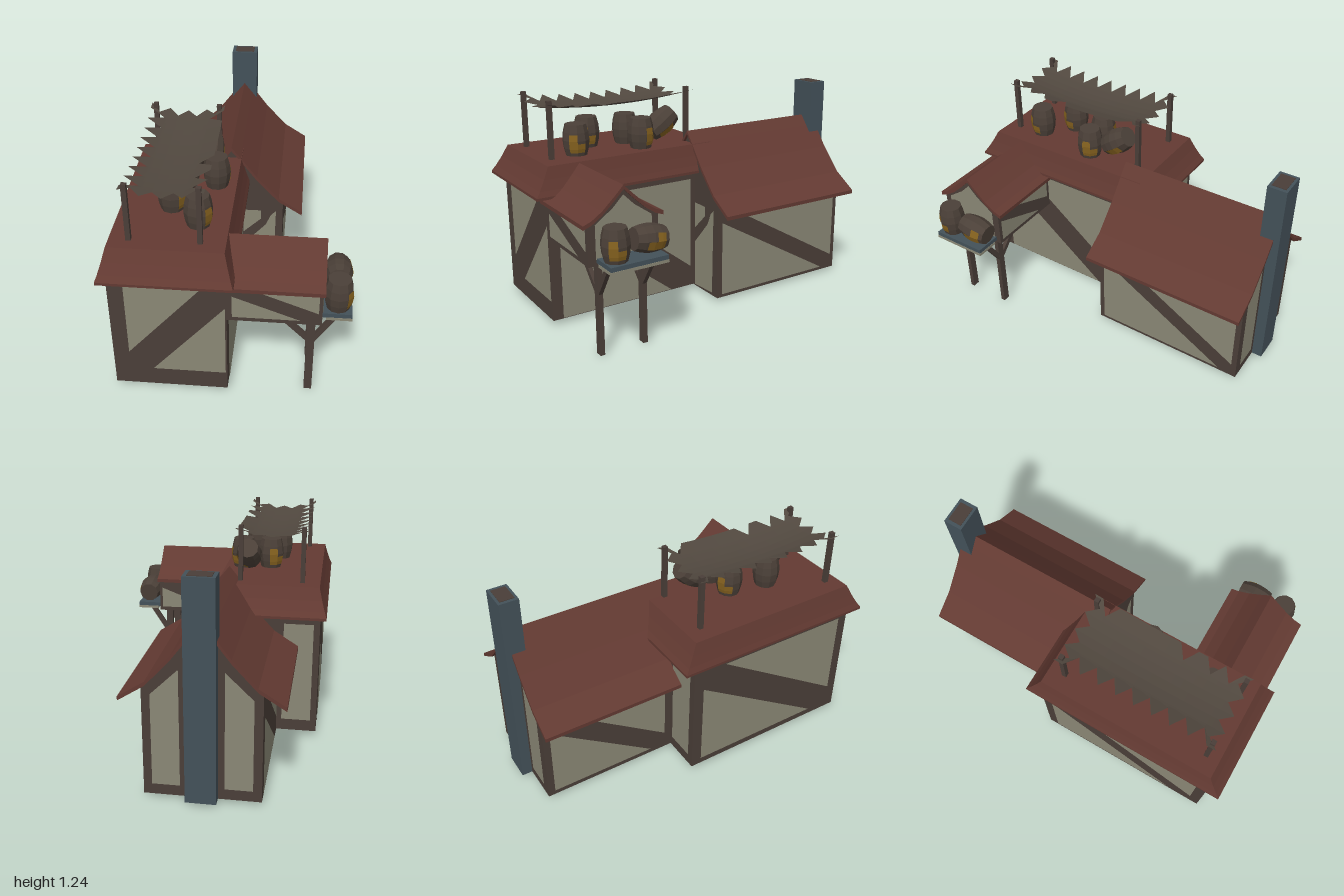
import * as THREE from 'three';

const mat = (name, color, extra = {}) => Object.assign(new THREE.MeshStandardMaterial({ color, ...extra }), { name });

export function createModel() {
  const model = new THREE.Group();
  model.name = 'timberHouse';
  const both = { side: THREE.DoubleSide };
  const wood = mat('darkTimber', 0x4a3e38, { flatShading: true });
  const plaster = mat('plaster', 0x8a8775, both);
  const tile = mat('redRoof', 0x633a32, { flatShading: true });
  const slate = mat('blueStone', 0x435159, { flatShading: true });
  const stave = mat('barrelWood', 0x4b4038, { flatShading: true });
  const gold = mat('goldPatch', 0x86621f, { flatShading: true, ...both });
  const cloth = mat('canopyCloth', 0x51483f, { flatShading: true, ...both });

  const add = (name, geo, material, parent = model) => {
    const m = new THREE.Mesh(geo, material);
    m.name = name;
    parent.add(m);
    return m;
  };
  // Box given by its extents
  const box = (name, material, x0, x1, y0, y1, z0, z1) => {
    const m = add(name, new THREE.BoxGeometry(x1 - x0, y1 - y0, z1 - z0), material);
    m.position.set((x0 + x1) / 2, (y0 + y1) / 2, (z0 + z1) / 2);
    return m;
  };
  const shapeOf = pts => new THREE.Shape(pts.map(p => new THREE.Vector2(...p)));

  // Flat plaster panel; u runs rightward as seen from outside the wall
  const panel = (face, at, pts) => {
    const m = add(face + 'PlasterPanel', new THREE.ShapeGeometry(shapeOf(pts)), plaster);
    const d = 0.004;
    if (face === 'front') m.position.z = at + d;
    if (face === 'back') { m.rotation.y = Math.PI; m.position.z = at - d; }
    if (face === 'left') { m.rotation.y = Math.PI / 2; m.position.x = at + d; }
    if (face === 'right') { m.rotation.y = -Math.PI / 2; m.position.x = at - d; }
    if (face === 'bottom') { m.rotation.x = Math.PI / 2; m.position.y = at - d; }
  };
  // Two panels with a diagonal brace left between them
  const braced = (face, at, l, r, b, t, rising, bu, bv) => {
    const flip = p => rising ? [l + r - p[0], p[1]] : p;
    panel(face, at, [[l + bu, t], [r, t], [r, b + bv]].map(flip));
    panel(face, at, [[l, t - bv], [l, b], [r - bu, b]].map(flip));
  };

  // Gabled body and curved roof, extruded along local z from the origin
  const gabled = (name, prof, half, y0, bodyLen, roofLen, roofShift) => {
    const g = new THREE.Group();
    g.name = name;
    model.add(g);
    const heightAt = x => {
      const i = Math.max(1, prof.findIndex(p => p[0] >= x));
      const [a, b] = [prof[i - 1], prof[i]];
      return a[1] + (b[1] - a[1]) * (x - a[0]) / (b[0] - a[0]);
    };
    const mirror = pts => [...pts, ...pts.slice().reverse().filter(p => p[0] > 0).map(p => [-p[0], p[1]])];
    const up = prof.filter(p => p[0] < half).map(p => [p[0], p[1] - 0.02]);
    const body = mirror([...up, [half, heightAt(half) - 0.02], [half, y0]]);
    add(name + 'Walls', new THREE.ExtrudeGeometry(shapeOf(body), { depth: bodyLen, bevelEnabled: false }), wood, g);
    const top = prof.slice().reverse().map(p => [-p[0], p[1]]).concat(prof.slice(1));
    const under = top.slice().reverse().map(p => [p[0], p[1] - 0.022]);
    const roof = add(name + 'Roof', new THREE.ExtrudeGeometry(shapeOf([...top, ...under]), { depth: roofLen, bevelEnabled: false }), tile, g);
    roof.position.z = roofShift;
    return g;
  };

  // Main block
  box('mainWalls', wood, -0.605, 0, 0.03, 0.78, -0.14, 0.93);
  braced('front', 0.93, -0.52, -0.008, 0.145, 0.7, true, 0.125, 0.11);
  braced('left', 0, -0.87, -0.02, 0.035, 0.71, false, 0.14, 0.12);
  braced('right', -0.605, -0.08, 0.87, 0.07, 0.71, false, 0.14, 0.12);
  panel('back', -0.14, [[0.4, 0.1], [0.57, 0.1], [0.57, 0.7], [0.4, 0.7]]);
  braced('bottom', 0.03, -0.55, -0.05, -0.05, 0.86, true, 0.06, 0.1);

  // Flared hip roof, lofted from rectangular rings
  const rings = [[0, 0.75], [0, 0.765], [0.25, 0.795], [0.62, 0.85], [1, 0.917]].map(([k, y]) => {
    const [x0, x1, z0, z1] = [-0.64 + 0.047 * k, 0.04 - 0.047 * k, -0.215 + 0.085 * k, 1 - 0.09 * k];
    return [[x0, y, z1], [x1, y, z1], [x1, y, z0], [x0, y, z0]];
  });
  const tri = [];
  const quad = (a, b, c, d) => tri.push(...a, ...b, ...c, ...a, ...c, ...d);
  for (let i = 0; i + 1 < rings.length; i++)
    for (let j = 0; j < 4; j++) {
      const k = (j + 1) % 4;
      quad(rings[i][j], rings[i][k], rings[i + 1][k], rings[i + 1][j]);
    }
  quad(...rings[rings.length - 1]);
  quad(...rings[0].slice().reverse());
  const hip = new THREE.BufferGeometry();
  hip.setAttribute('position', new THREE.Float32BufferAttribute(tri, 3));
  hip.computeVertexNormals();
  add('mainRoof', hip, tile);

  // Rear block
  const rear = gabled('rearBlock', [[0, 0.987], [0.05, 0.925], [0.15, 0.795], [0.28, 0.655], [0.42, 0.567]],
    0.305, 0.02, 0.925, 0.965, -0.025);
  rear.position.set(-0.065, 0, -0.94);
  braced('left', 0.24, 0.045, 0.91, 0.04, 0.56, false, 0.08, 0.07);
  braced('right', -0.37, -0.9, -0.18, 0.05, 0.56, false, 0.1, 0.08);
  panel('front', -0.015, [[0.005, 0.4], [0.11, 0.5], [0.11, 0.56], [0.005, 0.56]]);
  panel('front', -0.015, [[0.005, 0.03], [0.19, 0.04], [0.2, 0.56], [0.17, 0.53], [0.14, 0.46], [0.005, 0.31]]);
  for (const s of [-1, 1])
    panel('back', -0.94, [[0.115, 0.08], [0.26, 0.08], [0.26, 0.58], [0.115, 0.72]].map(([u, v]) => [0.065 + s * u, v]));
  braced('bottom', 0.02, -0.33, 0.2, -0.9, -0.06, false, 0.08, 0.1);

  // Chimney
  box('chimney', slate, -0.145, 0.015, 0.02, 1.205, -1, -0.89);
  box('chimneyOpening', wood, -0.125, -0.005, 1.2, 1.208, -0.985, -0.905);

  // Raised side wing
  const wing = gabled('sideWing', [[0, 0.91], [0.05, 0.86], [0.12, 0.795], [0.18, 0.755], [0.226, 0.738]],
    0.2, 0.515, 0.5, 0.52, -0.01);
  wing.rotation.y = Math.PI / 2;
  wing.position.set(-0.02, 0, 0.73);
  braced('front', 0.93, 0.027, 0.462, 0.54, 0.722, false, 0.09, 0.05);
  braced('back', 0.53, -0.462, -0.027, 0.54, 0.722, false, 0.09, 0.05);
  panel('left', 0.48, [[-0.89, 0.55], [-0.57, 0.55], [-0.57, 0.73], [-0.67, 0.8], [-0.73, 0.86], [-0.79, 0.8], [-0.89, 0.73]]);

  // Barrel platform
  box('platformTop', slate, 0.48, 0.632, 0.53, 0.555, 0.56, 0.885);
  box('platformBase', plaster, 0.5, 0.634, 0.515, 0.531, 0.558, 0.887);

  // Posts with slanted braces
  const beam = (name, a, b, w, d) => {
    const m = add(name, new THREE.BoxGeometry(w, Math.hypot(b[0] - a[0], b[1] - a[1]), d), wood);
    m.position.set((a[0] + b[0]) / 2, (a[1] + b[1]) / 2, a[2]);
    m.rotation.z = -Math.atan2(b[0] - a[0], b[1] - a[1]);
  };
  for (const z of [0.855, 0.6]) {
    box('wingPost', wood, 0.408, 0.45, 0, 0.52, z - 0.013, z + 0.013);
    beam('innerBrace', [0.425, 0.345, z], [0.25, 0.525, z], 0.028, 0.024);
    beam('outerBrace', [0.435, 0.345, z], [0.55, 0.525, z], 0.028, 0.024);
  }

  // Canopy poles and sagging torn cloth
  for (const x of [-0.492, -0.135])
    for (const z of [0.833, -0.037]) box('canopyPole', wood, x - 0.013, x + 0.013, 0.91, 1.238, z - 0.013, z + 0.013);
  const cols = 8, rows = 18;
  const sheet = new THREE.PlaneGeometry(2, 2, cols, rows).rotateX(-Math.PI / 2);
  const p = sheet.attributes.position;
  for (let i = 0; i < p.count; i++) {
    const c = i % (cols + 1), r = Math.floor(i / (cols + 1));
    let u = p.getX(i), v = p.getZ(i);
    if (c === 0 && r % 2 === 0 && r > 1 && r < rows - 1) u += 0.4;
    if (c === 1 && r > 1 && r < rows - 1) u += 0.2;
    if (c === cols && [2, 11, 14, 16].includes(r)) u -= 0.35;
    if (c === cols - 1 && r > 1 && r < rows - 1) u -= 0.15;
    if (r === 0 && c % 2 === 1) v += 0.13;
    if (r === rows && c % 2 === 1) v -= 0.13;
    if ((r === 1 || r === rows - 1) && c > 0 && c < cols) v *= 0.94;
    p.setXYZ(i, -0.313 + 0.207 * u, 1.222 - 0.04 * (1 - u * u) - 0.03 * (1 - v * v), 0.397 + 0.465 * v);
  }
  sheet.computeVertexNormals();
  add('canopy', sheet, cloth);

  // Barrels: ten staves, with a gold patch low on one side
  const lathe = (pts, start, n) => new THREE.LatheGeometry(pts.map(q => new THREE.Vector2(...q)), n, start, n * Math.PI / 5);
  const barrel = (x, y, z, turn = 0, tilt = 0, roll = 0) => {
    const g = new THREE.Group();
    g.name = 'barrel';
    add('barrelBody', lathe([[0, -0.088], [0.06, -0.088], [0.071, -0.045], [0.076, 0], [0.071, 0.045], [0.06, 0.088], [0, 0.088]], 0, 10), stave, g);
    add('barrelPatch', lathe([[0.067, -0.066], [0.073, -0.045], [0.078, 0], [0.074, 0.035]], Math.PI / 5, 1), gold, g);
    add('barrelPatch', lathe([[0.067, -0.066], [0.073, -0.045], [0.077, -0.015]], 2 * Math.PI / 5, 1), gold, g);
    g.rotation.set(tilt, turn, roll);
    g.position.set(x, y, z);
    model.add(g);
  };
  barrel(-0.165, 1.004, 0.67);
  barrel(-0.32, 1.004, 0.53);
  barrel(-0.115, 1.004, 0.285, 0.9);
  barrel(-0.28, 1.004, 0.3, 2.5);
  barrel(-0.165, 1.035, 0.12, 1.2, -0.95);
  barrel(0.56, 0.644, 0.82);
  barrel(0.56, 0.638, 0.635, 0.3, Math.PI / 2 - 0.12);

  return model;
}
